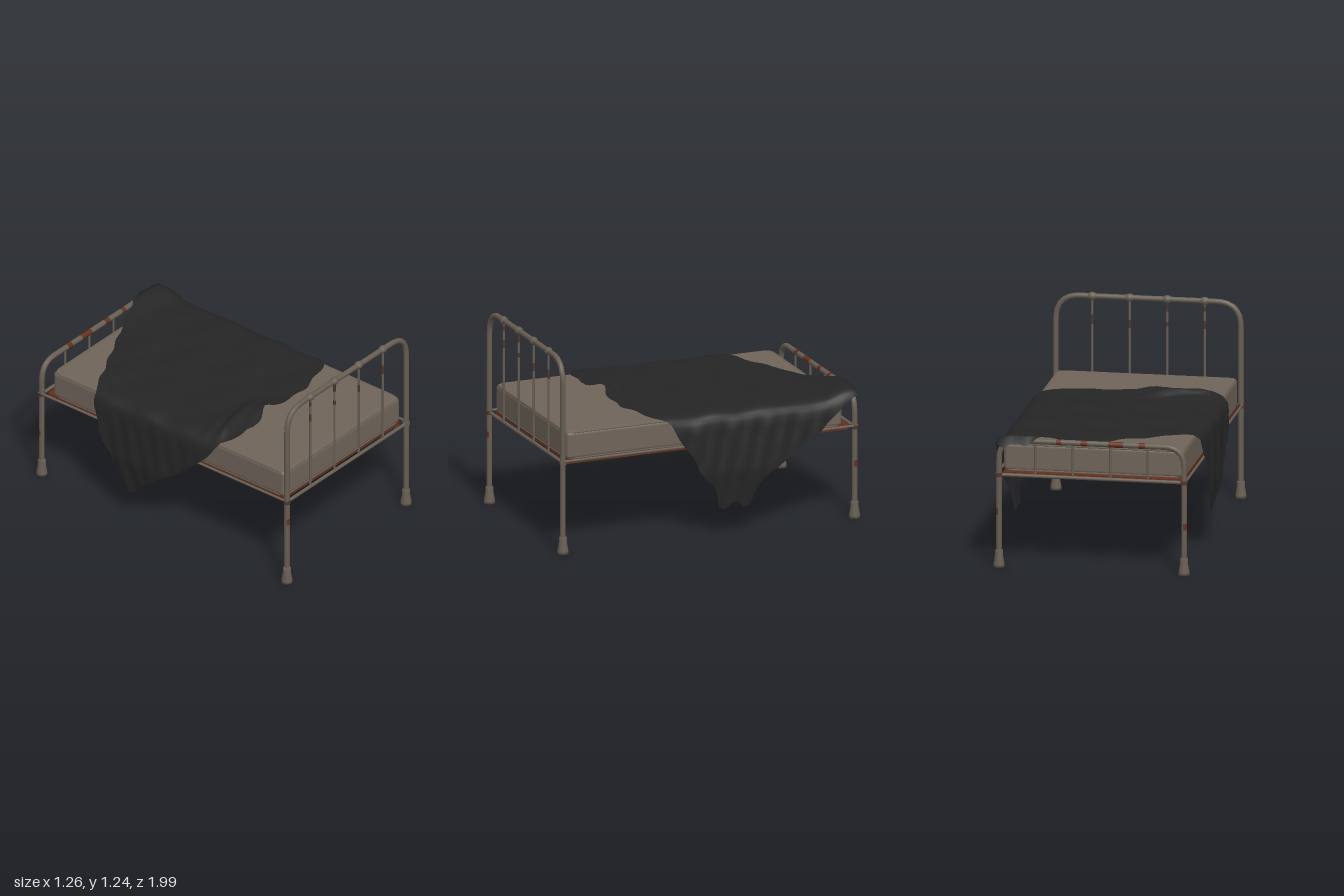
import * as THREE from 'three';
import { RoundedBoxGeometry } from 'three/addons/geometries/RoundedBoxGeometry.js';

const makeMaterial = (name, color, side = THREE.FrontSide) => {
  const m = new THREE.MeshStandardMaterial({ color, side });
  m.name = name;
  return m;
};

// Linear lookup in a table of [key, value, value...] rows
function lookup(table, key, column) {
  let i = 1;
  while (i < table.length - 1 && table[i][0] < key) i++;
  const a = table[i - 1], b = table[i];
  const t = THREE.MathUtils.clamp((key - a[0]) / (b[0] - a[0]), 0, 1);
  return THREE.MathUtils.lerp(a[column], b[column], t);
}

// Edges of the blanket: distance across the cloth, foot-end z, head-end z
const BLANKET_EDGES = [
  [-1.16, -0.27, -0.2], [-0.95, -0.38, 0.05], [-0.79, -0.47, 0.27], [-0.6, -0.52, 0.42],
  [-0.5, -0.56, 0.47], [-0.3, -0.66, 0.49], [-0.1, -0.76, 0.42], [0.1, -0.86, 0.45],
  [0.25, -0.92, 0.44], [0.4, -0.99, 0.41], [0.54, -0.985, 0.35], [0.6, -0.96, 0.28],
  [0.72, -0.75, 0.2], [0.8, -0.66, 0.16], [0.93, -0.45, 0.08], [1.02, -0.33, 0.01],
  [1.17, -0.24, -0.05],
];
// How the cloth folds over the side: distance across, x, drop
const BLANKET_FOLD = [
  [0, 0, 0], [0.5, 0.5, 0], [0.55, 0.548, -0.006], [0.6, 0.588, -0.035], [0.66, 0.602, -0.09],
  [0.8, 0.613, -0.22], [0.95, 0.624, -0.37], [1.17, 0.6, -0.585],
];

function blanketGeometry() {
  const cols = 92, rows = 56, positions = [], index = [];
  const step = THREE.MathUtils.smoothstep;
  for (let j = 0; j <= rows; j++) {
    for (let i = 0; i <= cols; i++) {
      const s = -1.16 + (2.33 * i) / cols, d = Math.abs(s);
      const z0 = lookup(BLANKET_EDGES, s, 1) + 0.008 * Math.sin(s * 31);
      const z1 = lookup(BLANKET_EDGES, s, 2) + 0.01 * Math.sin(s * 27 + 1);
      const z = Math.max(-1, THREE.MathUtils.lerp(z0, z1, j / rows));
      const hang = step(d, 0.56, 0.75);
      let x = lookup(BLANKET_FOLD, d, 1);
      let y = 0.771 + lookup(BLANKET_FOLD, d, 2);
      // soft creases on top, pleats and a notched hem on the hanging sides
      y += (1 - hang) * (0.004 * Math.sin(z * 17 + s * 4) + 0.003 * Math.sin(s * 13 - z * 23));
      y += step(d, 1.0, 1.17) * 0.02 * Math.sin(z * 42 + 1.37);
      x += hang * (0.005 * Math.sin(z * 27 + d * 9) + 0.003 * Math.sin(z * 55 - d * 14));
      // bunched folds at the head-end edge
      const bunch = step(s, -0.6, -0.42) * (1 - step(s, -0.2, 0.1));
      y += bunch * 0.056 * Math.exp(-(((z - 0.37) / 0.09) ** 2)) * (0.75 + 0.25 * Math.sin(z * 60 + s * 14 + 3.4));
      // rise over the foot rail, then drop behind it
      y += 0.05 * step(-z, 0.75, 0.93) * step(s, 0, 0.33);
      if (z < -0.962) y -= ((-z - 0.962) / 0.038) * 0.075 * step(s, 0.1, 0.35);
      positions.push(Math.sign(s) * x, y, z);
      if (i < cols && j < rows) {
        const a = j * (cols + 1) + i, c = a + cols + 1;
        index.push(a, c, a + 1, a + 1, c, c + 1);
      }
    }
  }
  const g = new THREE.BufferGeometry();
  g.setAttribute('position', new THREE.Float32BufferAttribute(positions, 3));
  g.setIndex(index);
  g.computeVertexNormals();
  return g;
}

export function createModel() {
  const bed = new THREE.Group();
  bed.name = 'bed';
  const paint = makeMaterial('worn paint', 0x675e53);
  const rust = makeMaterial('rust', 0x66301f, THREE.DoubleSide);
  const stain = makeMaterial('rust stain', 0x50352a);
  const ticking = makeMaterial('mattress fabric', 0x6f6459);
  const wool = makeMaterial('blanket cloth', 0x252526, THREE.DoubleSide);
  const wire = makeMaterial('spring wire', 0x655b50);
  const shade = makeMaterial('spring base', 0x3a342d);

  const add = (name, geometry, material, x = 0, y = 0, z = 0) => {
    const mesh = new THREE.Mesh(geometry, material);
    mesh.name = name;
    mesh.position.set(x, y, z);
    bed.add(mesh);
    return mesh;
  };
  const box = (name, w, h, d, material, x, y, z) =>
    add(name, new THREE.BoxGeometry(w, h, d), material, x, y, z);
  // Straight round bar along an axis
  const bar = (name, axis, radius, length, material, x, y, z) => {
    const m = add(name, new THREE.CylinderGeometry(radius, radius, length, 10), material, x, y, z);
    if (axis === 'x') m.rotation.z = Math.PI / 2;
    if (axis === 'z') m.rotation.x = Math.PI / 2;
  };

  const POST = 0.567, RAIL = 0.573, TUBE = 0.017, HEAD = 0.965, FOOT = -0.945;
  const RODS = [-0.345, -0.115, 0.115, 0.345];
  const toPoints = (rows) => rows.map(([r, y]) => new THREE.Vector2(r, y));
  const footProfile = toPoints(
    [[0, 0], [0.034, 0], [0.034, 0.018], [0.025, 0.07], [0.025, 0.1], [0.021, 0.106], [0, 0.106]]);
  const jointProfile = toPoints(
    [[0.017, -0.023], [0.021, -0.017], [0.025, -0.006], [0.025, 0.006], [0.021, 0.017], [0.017, 0.023]]);

  // Head and foot ends: bent tube, rods, feet
  const bedEnd = (name, z, top, bend) => {
    const p = (x, y) => new THREE.Vector3(x, y, 0);
    const path = new THREE.CurvePath();
    path.add(new THREE.LineCurve3(p(-POST, 0.05), p(-POST, top - bend)));
    path.add(new THREE.QuadraticBezierCurve3(p(-POST, top - bend), p(-POST, top), p(bend - POST, top)));
    path.add(new THREE.LineCurve3(p(bend - POST, top), p(POST - bend, top)));
    path.add(new THREE.QuadraticBezierCurve3(p(POST - bend, top), p(POST, top), p(POST, top - bend)));
    path.add(new THREE.LineCurve3(p(POST, top - bend), p(POST, 0.05)));
    add(name + 'Frame', new THREE.TubeGeometry(path, 90, TUBE, 10), paint, 0, 0, z);
    bar(name + 'LowerRail', 'x', 0.011, 1.17, paint, 0, RAIL, z);
    for (const x of RODS) bar(name + 'Rod', 'y', 0.007, top - RAIL, paint, x, (top + RAIL) / 2, z);
    for (const x of [-POST, POST]) {
      add(name + 'Foot', new THREE.LatheGeometry(footProfile, 12), paint, x, 0, z);
      bar(name + 'CornerClamp', 'y', 0.022, 0.024, x < 0 || z < 0 ? stain : paint, x, RAIL, z);
    }
  };
  bedEnd('headboard', HEAD, 1.214, 0.15);
  bedEnd('footboard', FOOT, 0.79, 0.12);
  for (const x of RODS) {
    const joint = add('headboardJoint', new THREE.LatheGeometry(jointProfile, 10), paint, x, 1.214, HEAD);
    joint.rotation.z = Math.PI / 2;
  }

  // Rust sleeves: x, y, length on the rods, x and length on the foot rail
  const rodRust = [
    [-0.345, 1.065, 0.05], [-0.345, 1.165, 0.03], [-0.115, 1.165, 0.05],
    [-0.115, 1.06, 0.03], [0.115, 1.05, 0.05], [0.345, 1.07, 0.06],
  ];
  for (const [x, y, length] of rodRust) bar('rodRust', 'y', 0.0078, length, stain, x, y, HEAD);
  for (const [x, length] of [[-0.31, 0.04], [-0.15, 0.09], [0.045, 0.04], [0.2, 0.03]]) {
    bar('footRailRust', 'x', 0.0176, length, rust, x, 0.79, FOOT);
  }

  // Rust patches on one side of the posts, the last value is the facing angle
  const patches = [[-POST, 0.435, HEAD, 0], [POST, 0.345, FOOT, 2], [-POST, 0.3, FOOT, 3.9]];
  for (const [x, y, z, facing] of patches) {
    const arc = new THREE.CylinderGeometry(0.0178, 0.0178, 0.04, 8, 1, true, facing - 1, 2);
    add('postRust', arc, rust, x, y, z);
  }

  // Side rails: painted tube outside a rusty angle iron
  for (const side of [-1, 1]) {
    bar('sideRail', 'z', 0.008, 1.94, paint, side * 0.577, 0.581, 0.01);
    box('sideIronWeb', 0.006, 0.03, 1.84, rust, side * 0.545, 0.569, 0.01);
    box('sideIronFlange', 0.045, 0.006, 1.84, rust, side * 0.523, 0.558, 0.01);
  }
  // End irons
  for (const z of [-0.895, 0.906]) {
    box('endIronTop', 1.09, 0.006, 0.036, rust, 0, 0.581, z);
    box('endIronWeb', 1.09, 0.018, 0.006, rust, 0, 0.573, z + Math.sign(z) * 0.015);
    box('endIronFlange', 1.09, 0.004, 0.04, rust, 0, 0.564, z);
  }

  // Woven spring base
  box('springBase', 1.03, 0.006, 1.74, shade, 0, 0.572, 0.005);
  for (let i = 0; i < 24; i++) box('springWire', 0.02, 0.004, 1.74, wire, -0.5 + i / 23, 0.567, 0.005);
  for (let i = 0; i < 40; i++) box('crossWire', 1.03, 0.004, 0.02, wire, 0, 0.566, -0.85 + (i * 1.71) / 39);

  // Mattress with piping around its top and bottom edges
  add('mattress', new RoundedBoxGeometry(1.108, 0.177, 1.804, 4, 0.026), ticking, 0, 0.6665, 0.03);
  const cord = new THREE.CurvePath();
  const hw = 0.546, hd = 0.895;
  const corners = [[hw, hd], [-hw, hd], [-hw, -hd], [hw, -hd]].map(([x, z]) => new THREE.Vector3(x, 0, z));
  const toward = (from, to) => from.clone().add(to.clone().sub(from).setLength(0.04));
  for (let i = 0; i < 4; i++) {
    const a = corners[i], b = corners[(i + 1) % 4], next = corners[(i + 2) % 4];
    cord.add(new THREE.LineCurve3(toward(a, b), toward(b, a)));
    cord.add(new THREE.QuadraticBezierCurve3(toward(b, a), b, toward(b, next)));
  }
  for (const y of [0.747, 0.586]) {
    add('mattressPiping', new THREE.TubeGeometry(cord, 160, 0.007, 6, true), ticking, 0, y, 0.03);
  }

  add('blanket', blanketGeometry(), wool);
  return bed;
}
